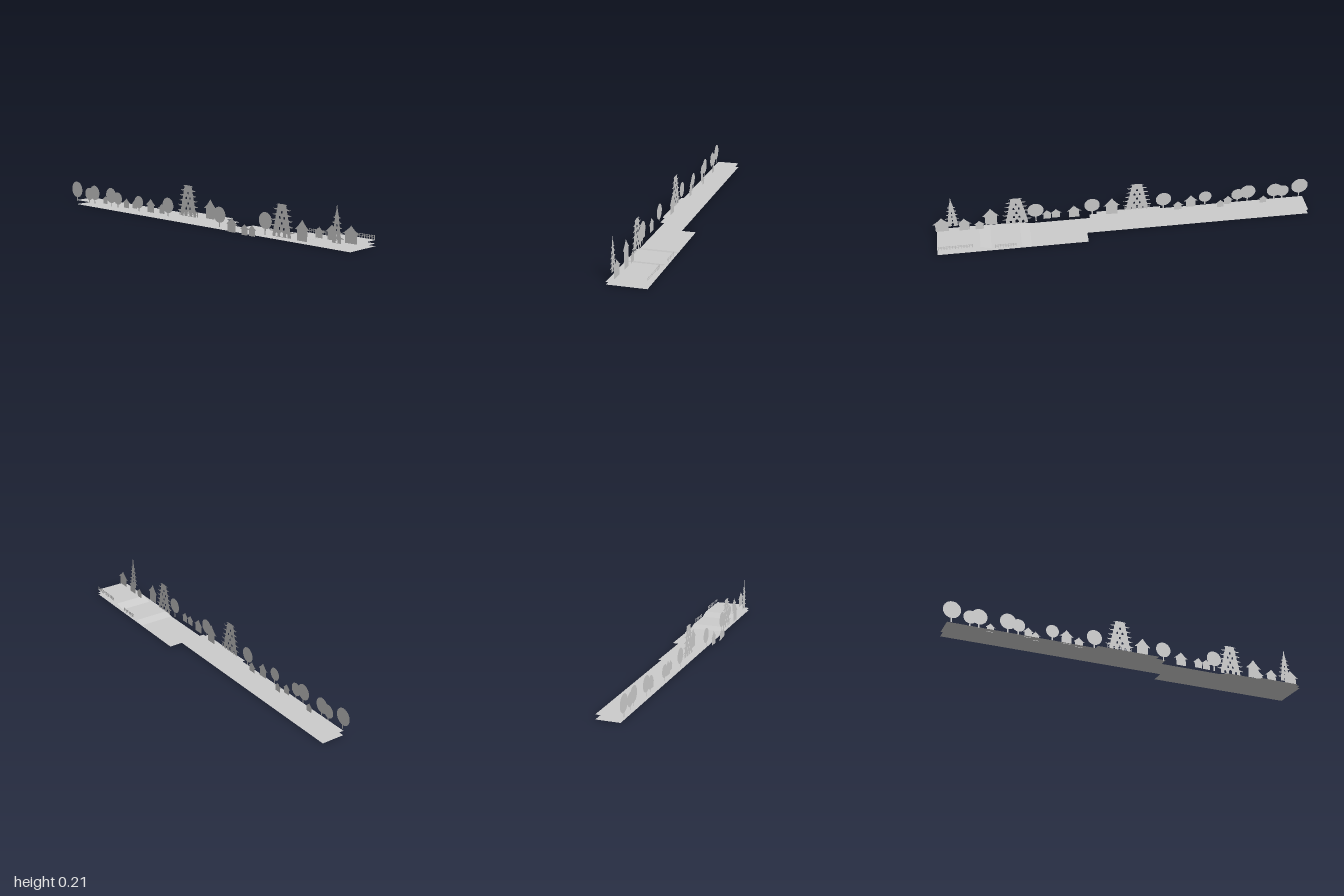
import * as THREE from 'three';

const mat = new THREE.MeshStandardMaterial({ color: 0xcccccc, side: THREE.DoubleSide, flatShading: true });

function add(group, name, geometry, x = 0, y = 0, z = 0) {
  const mesh = new THREE.Mesh(geometry, mat);
  mesh.name = name;
  mesh.position.set(x, y, z);
  group.add(mesh);
  return mesh;
}

// Ground sheet following an x/y profile between two depths
function sheet(group, name, profile, z0, z1) {
  const n = profile.length;
  const geo = new THREE.PlaneGeometry(1, 1, n - 1, 1);
  const pos = geo.attributes.position;
  for (let i = 0; i < pos.count; i++) {
    const [x, y] = profile[i % n];
    pos.setXYZ(i, x, y, i < n ? z0 : z1);
  }
  geo.computeVertexNormals();
  add(group, name, geo);
}

// Symmetrical flat outline: the right half from bottom to top, mirrored
function mirrored(half) {
  const left = half.filter(p => p[0] > 0).map(([x, y]) => [-x, y]).reverse();
  return new THREE.Shape([...half, ...left].map(p => new THREE.Vector2(...p)));
}

function hole(shape, x, y, w, h) {
  shape.holes.push(new THREE.Path([[-1, 0], [-1, 0.7], [0, 1], [1, 0.7], [1, 0]]
    .map(([a, b]) => new THREE.Vector2(x + a * w / 2, y + b * h))));
}

const flat = shape => new THREE.ShapeGeometry(shape, 20);

// Round tree: crown disc on a thin trunk
function tree(group, x, cy, r, base, z) {
  const g = new THREE.Group();
  g.name = 'tree';
  add(g, 'crown', new THREE.CircleGeometry(r, 32), x, cy, z);
  const h = cy - r - base + 0.004;
  add(g, 'trunk', new THREE.PlaneGeometry(0.007, h), x, base + h / 2, z);
  group.add(g);
}

// House: wall block under a sweeping pointed roof
function house(group, x, base, eave, h, z) {
  const e = h * 0.52, w = eave * 0.68;
  add(group, 'house', flat(mirrored([
    [w, 0], [w, e], [eave, e], [eave * 0.62, e + (h - e) * 0.3],
    [eave * 0.28, e + (h - e) * 0.65], [eave * 0.07, h - 0.004], [0, h],
  ])), x, base, z);
}

// Broad gate tower with five upturned eaves and window openings
function gateTower(group, x, base, z) {
  const half = [[0.058, 0], [0.056, 0.024]];
  const levels = 5, step = 0.027;
  for (let i = 0; i < levels; i++) {
    const y = 0.024 + i * step;
    const w = 0.056 - i * 0.006, e = 0.08 - i * 0.006;
    half.push([w, y], [e - 0.01, y], [e, y + 0.007], [e - 0.011, y + 0.005],
      [w - 0.003, y + 0.009], [w - 0.006, y + step - 0.001]);
  }
  half.push([0.038, 0.154], [0.028, 0.161], [0, 0.163]);
  const shape = mirrored(half);
  hole(shape, 0, 0.002, 0.018, 0.024);
  for (const s of [-1, 1]) hole(shape, s * 0.032, 0.002, 0.012, 0.018);
  for (let i = 0; i < 4; i++) {
    for (const s of i % 2 ? [0] : [-1, 1]) hole(shape, s * 0.014, 0.035 + i * step, 0.009, 0.014);
  }
  add(group, 'gateTower', flat(shape), x, base, z);
}

// Slender tiered tower with a spire
function spireTower(group, x, base, z) {
  const half = [[0.026, 0]];
  const levels = 5, step = 0.024;
  for (let i = 0; i < levels; i++) {
    const y = 0.022 + i * step, w = 0.025 - i * 0.0035, e = 0.042 - i * 0.005;
    half.push([w, y], [e - 0.004, y - 0.001], [e, y + 0.003], [w, y + 0.007]);
  }
  half.push([0.009, 0.138], [0.004, 0.155], [0.003, 0.172], [0, 0.18]);
  const shape = mirrored(half);
  hole(shape, 0, 0.002, 0.012, 0.018);
  for (let i = 0; i < 3; i++) hole(shape, 0, 0.031 + i * step, 0.006, 0.011);
  add(group, 'spireTower', flat(shape), x, base, z);
}

// Fence: two rails and evenly spaced posts
function fence(group, x0, x1, base, h, z) {
  const g = new THREE.Group();
  g.name = 'fence';
  const n = Math.max(2, Math.round((x1 - x0) / 0.014));
  for (let i = 0; i <= n; i++) {
    add(g, 'post', new THREE.PlaneGeometry(0.004, h), x0 + (x1 - x0) * i / n, base + h / 2, z);
  }
  for (const k of [0.5, 0.85]) {
    add(g, 'rail', new THREE.PlaneGeometry(x1 - x0, 0.003), (x0 + x1) / 2, base + h * k, z);
  }
  group.add(g);
}

export function createModel() {
  const model = new THREE.Group();
  model.name = 'scenery';

  // Ground sheets
  sheet(model, 'lowerGround', [[-0.973, 0], [0.207, 0]], -0.04, 0.083);
  sheet(model, 'wideGround', [[0.207, 0], [0.979, 0]], -0.113, 0.083);
  sheet(model, 'leftGround', [[-0.973, 0.024], [0.182, 0.024]], -0.04, 0.083);
  sheet(model, 'terrace', [[-0.195, 0.038], [0.144, 0.038]], -0.04, 0.083);
  sheet(model, 'rightGround', [[0.5, 0.001], [0.55, 0.013], [0.979, 0.013]], -0.113, 0.083);
  sheet(model, 'upperGround', [[0.705, 0.014], [0.76, 0.03], [0.979, 0.03]], -0.113, 0.063);

  // Trees: x, crown height, radius, base, depth
  [
    [-0.955, 0.088, 0.045, 0.022, 0.092], [-0.86, 0.071, 0.035, 0.022, 0.083],
    [-0.815, 0.082, 0.041, 0.022, 0.081], [-0.67, 0.083, 0.042, 0.022, 0.085],
    [-0.615, 0.072, 0.034, 0.022, 0.084], [-0.44, 0.072, 0.034, 0.022, 0.088],
    [-0.215, 0.08, 0.041, 0.022, 0.086], [0.165, 0.077, 0.041, 0.015, 0.092],
    [0.463, 0.083, 0.042, 0.012, 0.082],
  ].forEach(t => tree(model, ...t));

  // Houses: x, base, eave half-width, height, depth
  [
    [-0.75, 0.022, 0.026, 0.048, 0.057], [-0.56, 0.022, 0.029, 0.057, 0.07],
    [-0.515, 0.022, 0.026, 0.05, 0.05], [-0.36, 0.022, 0.038, 0.077, 0.075],
    [-0.288, 0.022, 0.031, 0.057, 0.06], [0.065, 0.037, 0.045, 0.103, 0.054],
    [0.26, 0.001, 0.04, 0.075, 0.103], [0.355, 0, 0.031, 0.057, 0.113],
    [0.402, 0, 0.03, 0.057, 0.11], [0.697, 0.013, 0.046, 0.103, 0.085],
    [0.758, 0.03, 0.031, 0.055, 0.033], [0.835, 0.03, 0.039, 0.075, 0.035],
    [0.95, 0.03, 0.05, 0.085, 0.04],
  ].forEach(h => house(model, ...h));

  // Towers
  gateTower(model, -0.072, 0.038, 0.078);
  gateTower(model, 0.563, 0.013, 0.076);
  spireTower(model, 0.895, 0.03, 0.077);

  // Fences
  fence(model, -0.137, -0.008, 0.038, 0.024, 0.074);
  fence(model, 0.58, 0.685, 0.013, 0.022, -0.113);
  fence(model, 0.8, 0.972, 0.03, 0.022, -0.113);
  return model;
}
